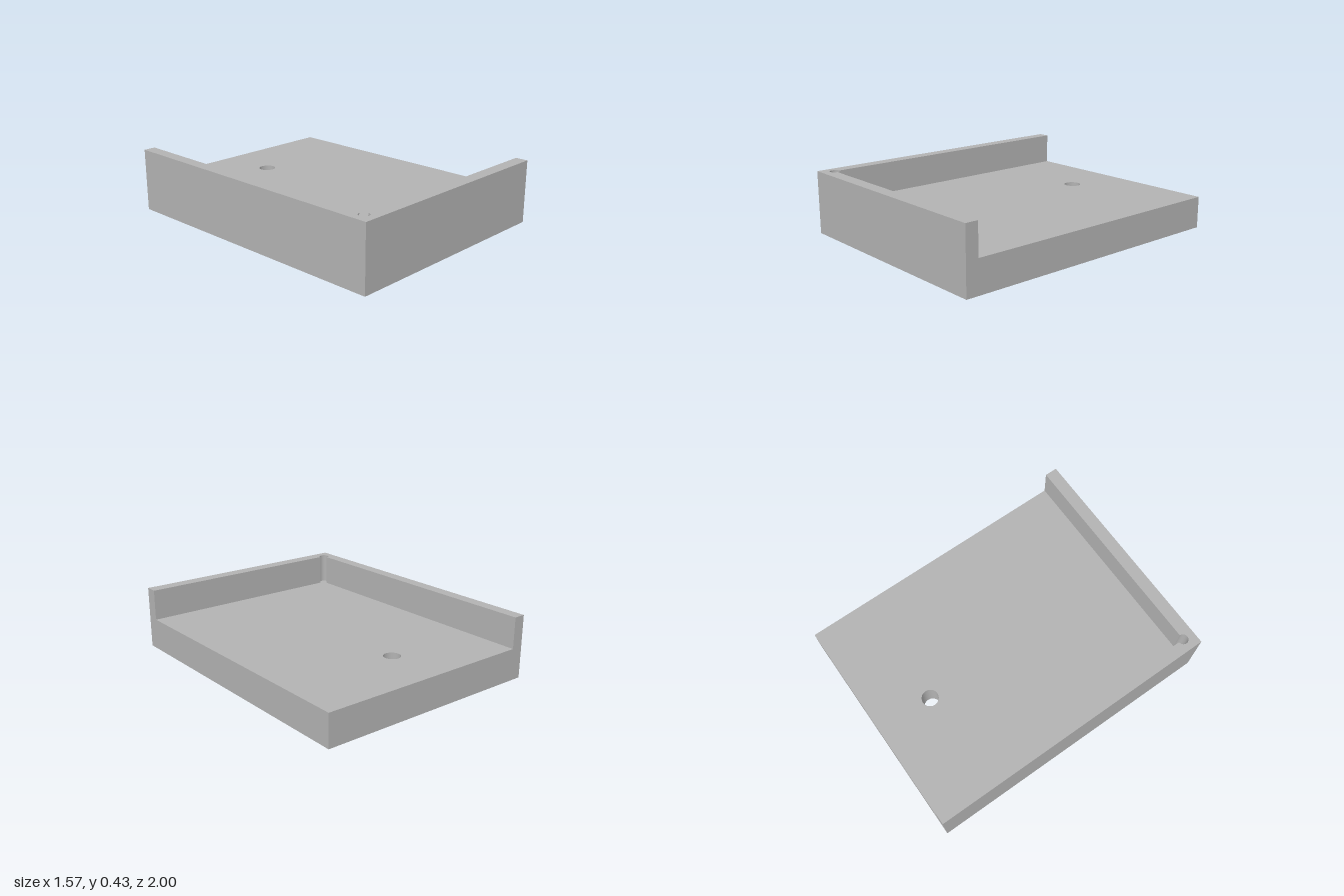
import * as THREE from 'three';

const HX = 0.785, HZ = 1, FLOOR = 0.215, TOP = 0.425;
const IX = -0.705, IZ = 0.915, RELIEF = 0.034; // inner wall corner and its relief radius

// Plan points are (x, -z); loops run counter-clockwise seen from above.
const P = (x, z) => new THREE.Vector2(x, -z);

function arc(x, z, r, from, to, n) {
  return Array.from({ length: n + 1 }, (_, i) => {
    const a = from + (to - from) * i / n;
    return P(x + r * Math.cos(a), z - r * Math.sin(a));
  });
}
const circle = (x, z, r) => arc(x, z, r, 0, Math.PI * 2, 48).slice(0, -1);

// Flat horizontal face, with optional holes
function cap(outline, y, faceUp, holes = []) {
  const shape = new THREE.Shape(outline);
  holes.forEach(h => shape.holes.push(new THREE.Path(h)));
  const g = new THREE.ShapeGeometry(shape);
  if (!faceUp) {
    const ix = g.index.array;
    for (let i = 0; i < ix.length; i += 3) [ix[i], ix[i + 1]] = [ix[i + 1], ix[i]];
  }
  g.rotateX(-Math.PI / 2).translate(0, y, 0);
  g.computeVertexNormals();
  return g;
}

// Side faces between a lower loop and an upper loop
function band(low, y0, high, y1, inward = false) {
  const pos = [];
  low.forEach((_, i) => {
    const j = (i + 1) % low.length;
    const [s, e] = inward ? [j, i] : [i, j];
    const a = [low[s].x, y0, -low[s].y], b = [low[e].x, y0, -low[e].y];
    const c = [high[e].x, y1, -high[e].y], d = [high[s].x, y1, -high[s].y];
    pos.push(...a, ...b, ...c, ...a, ...c, ...d);
  });
  const g = new THREE.BufferGeometry();
  g.setAttribute('position', new THREE.Float32BufferAttribute(pos, 3));
  g.computeVertexNormals();
  return g;
}

export function createModel() {
  const group = new THREE.Group();
  const grey = new THREE.MeshStandardMaterial({ color: 0xb2b2b2 });
  grey.name = 'grey';
  const add = (name, geometry) => {
    const mesh = new THREE.Mesh(geometry, grey);
    mesh.name = name;
    group.add(mesh);
  };

  const outline = [P(-HX, HZ), P(HX, HZ), P(HX, -HZ), P(-HX, -HZ)];
  const relief = arc(IX, IZ, RELIEF, Math.PI / 2, Math.PI * 2, 36);
  const pocket = [P(HX, -HZ), P(IX, -HZ), ...relief, P(HX, IZ)];
  const wall = [P(-HX, -HZ), P(-HX, HZ), P(HX, HZ), P(HX, IZ),
    ...[...relief].reverse(), P(IX, -HZ)];
  const hole = circle(-0.03, -0.61, 0.056);
  const holeRim = circle(-0.03, -0.61, 0.064);
  const slot = [P(0.448, 0.703), P(0.492, 0.703), P(0.492, 0.527), P(0.448, 0.527)];
  const SLOT_DEPTH = 0.025, CHAMFER = 0.012;

  // Base slab
  add('baseSides', band(outline, 0, outline, FLOOR));
  add('baseUnderside', cap(outline, 0, false, [holeRim, slot]));
  add('floor', cap(pocket, FLOOR, true, [hole]));

  // Through hole with a small chamfer underneath
  add('holeChamfer', band(holeRim, 0, hole, CHAMFER, true));
  add('holeBore', band(hole, CHAMFER, hole, FLOOR, true));

  // Shallow slot in the underside
  add('slotSides', band(slot, 0, slot, SLOT_DEPTH, true));
  add('slotCeiling', cap(slot, SLOT_DEPTH, false));

  // L-shaped wall with the corner relief
  add('wallSides', band(wall, FLOOR, wall, TOP));
  add('wallTop', cap(wall, TOP, true));

  return group;
}
